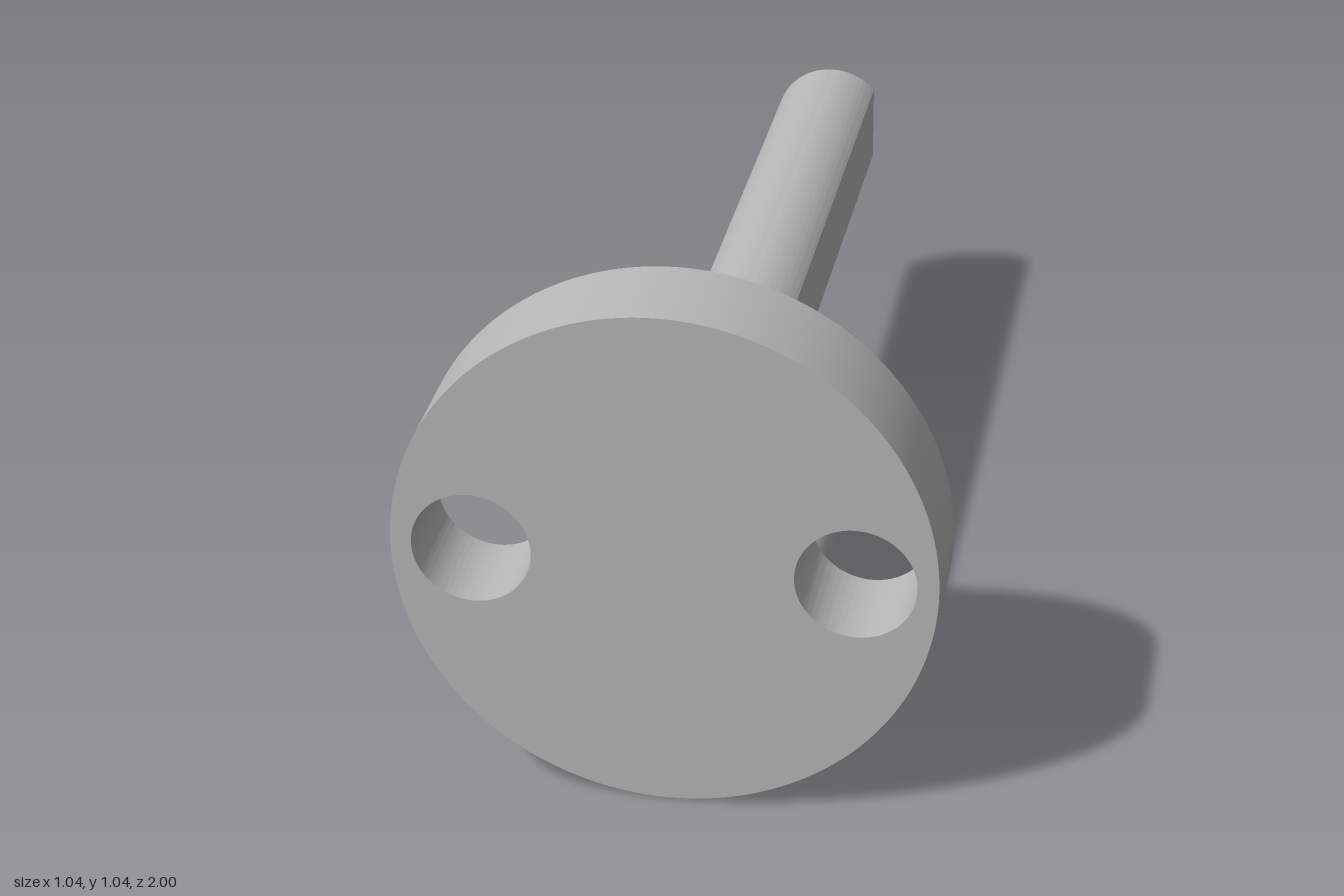
import * as THREE from 'three';
import { toCreasedNormals } from 'three/addons/utils/BufferGeometryUtils.js';

const CENTER_Y = 0.519;
const DISC_RADIUS = 0.519;
const DISC_BACK = 0.795;
const HOLE_OFFSET = 0.364;
const HOLE_RADIUS = 0.115;
const ROD_RADIUS = 0.127;
const ROD_FLAT_X = 0.096;

export function createModel() {
  const model = new THREE.Group();
  const grey = new THREE.MeshStandardMaterial({ color: 0xb8b8b8 });
  grey.name = 'plain grey';

  // Extrude a profile from z = back to z = front, smooth along its curves
  const addExtrusion = (name, shape, back, front) => {
    const solid = new THREE.ExtrudeGeometry(shape, {
      depth: front - back, bevelEnabled: false, curveSegments: 96,
    });
    const mesh = new THREE.Mesh(toCreasedNormals(solid, 0.5), grey);
    mesh.name = name;
    mesh.position.set(0, CENTER_Y, back);
    model.add(mesh);
  };

  // Round flange with two through holes
  const disc = new THREE.Shape().absarc(0, 0, DISC_RADIUS, 0, Math.PI * 2);
  for (const side of [-1, 1]) {
    disc.holes.push(new THREE.Path().absarc(side * HOLE_OFFSET, 0, HOLE_RADIUS, 0, Math.PI * 2, true));
  }
  addExtrusion('flangeDisc', disc, DISC_BACK, 1);

  // D-shaped shaft with its flat on the left (+x)
  const flatAngle = Math.acos(ROD_FLAT_X / ROD_RADIUS);
  const rod = new THREE.Shape().absarc(0, 0, ROD_RADIUS, flatAngle, Math.PI * 2 - flatAngle);
  rod.closePath();
  addExtrusion('shaft', rod, -1, DISC_BACK);

  return model;
}
